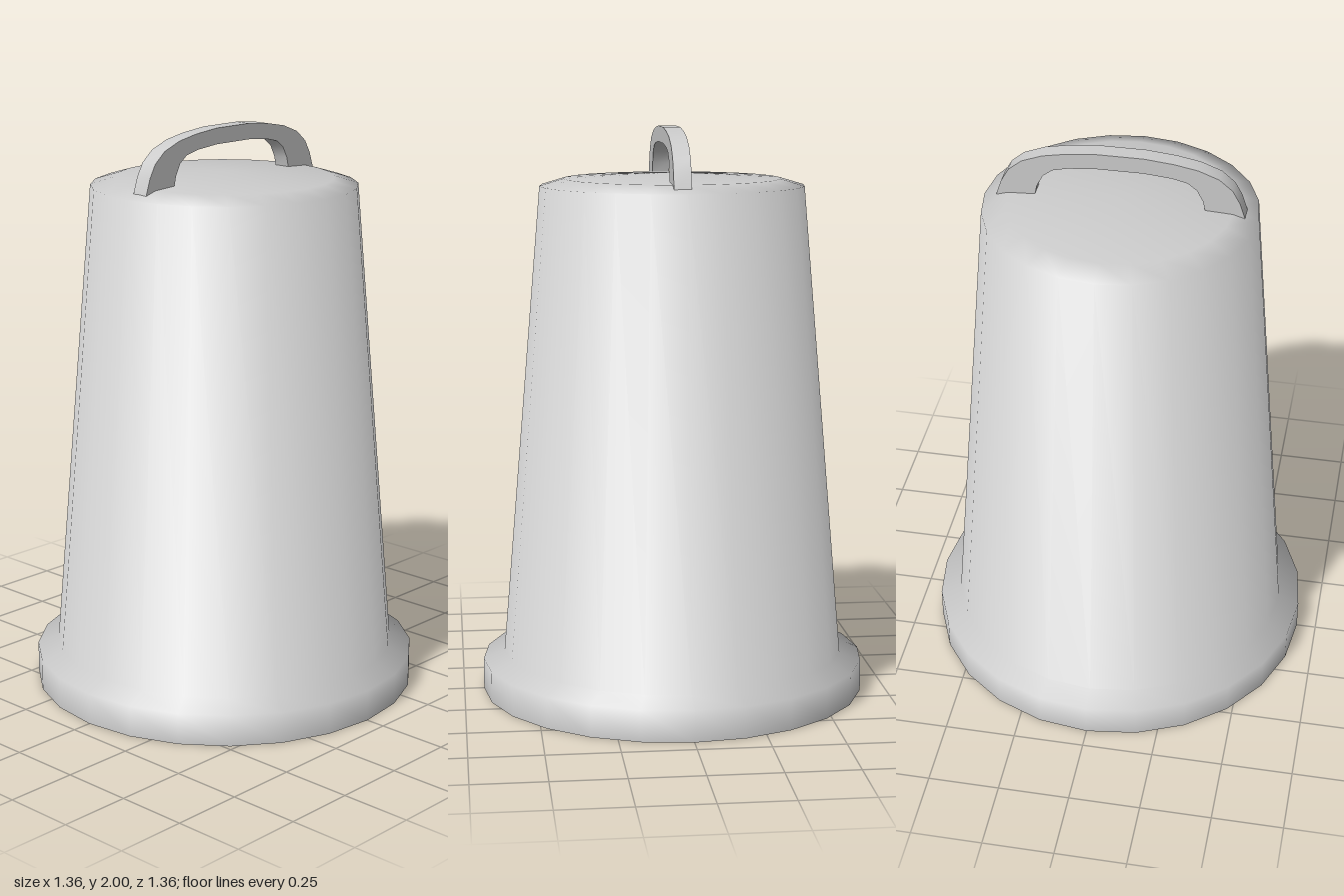
import * as THREE from 'three';
import { toCreasedNormals } from 'three/addons/utils/BufferGeometryUtils.js';

const material = new THREE.MeshStandardMaterial({ color: 0xcccccc });
const vectors = (points) => points.map(([x, y]) => new THREE.Vector2(x, y));

function addPart(group, name, geometry, crease) {
  const mesh = new THREE.Mesh(toCreasedNormals(geometry, crease), material);
  mesh.name = name;
  group.add(mesh);
  return mesh;
}

export function createModel() {
  const model = new THREE.Group();
  model.name = 'taperedContainer';

  // Tapered body with a flanged foot and a shallow domed top
  const profile = vectors([
    [0, 0], [0.68, 0], [0.68, 0.11], [0.605, 0.14],
    [0.463, 1.797], [0.38, 1.822], [0, 1.842],
  ]);
  addPart(model, 'body', new THREE.LatheGeometry(profile, 24), THREE.MathUtils.degToRad(80));

  // Flat arched handle: outer edge left to right, inner edge back again
  const mirror = (half) => [...half, ...half.map(([x, y]) => [-x, y]).reverse()];
  const outer = mirror([
    [-0.42, 1.805], [-0.40, 1.865], [-0.375, 1.91], [-0.33, 1.948],
    [-0.26, 1.975], [-0.18, 1.99], [-0.08, 2],
  ]);
  const inner = mirror([
    [-0.287, 1.82], [-0.278, 1.86], [-0.257, 1.9],
    [-0.225, 1.924], [-0.175, 1.936], [-0.08, 1.945],
  ]).reverse();
  const handleShape = new THREE.Shape(vectors([...outer, ...inner]));
  const handle = addPart(model, 'handle',
    new THREE.ExtrudeGeometry(handleShape, { depth: 0.06, bevelEnabled: false }),
    THREE.MathUtils.degToRad(40));
  handle.position.z = -0.02;

  return model;
}
